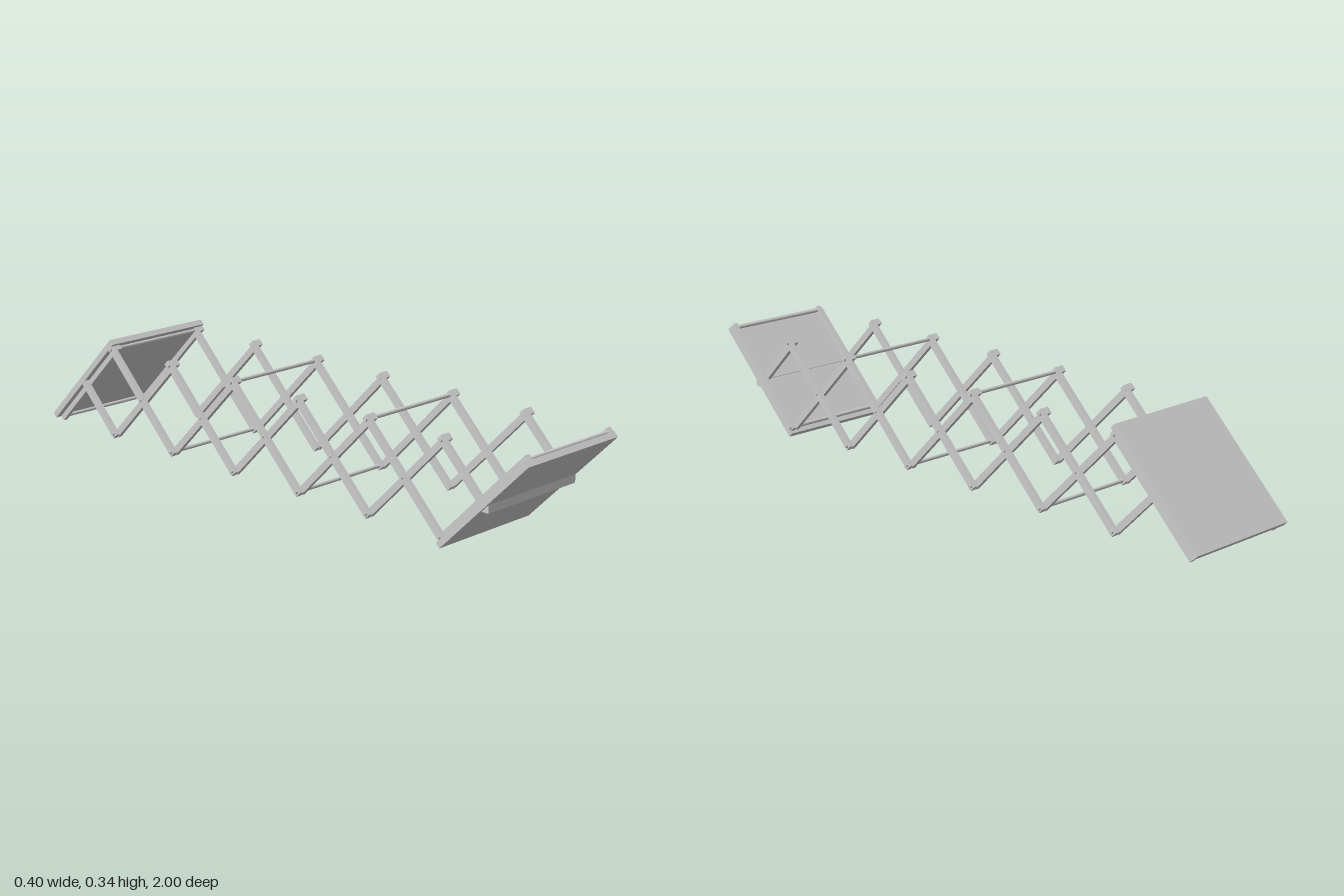
import * as THREE from 'three';

const material = new THREE.MeshStandardMaterial({ color: 0xcccccc, flatShading: true });
const STEP = 0.278;              // spacing of the lattice nodes along z
const LOW = 0.0315, HIGH = 0.3115, MID = 0.1715;
const BAR_W = 0.015, BAR_H = 0.021;

function add(parent, name, geometry, x, y, z, tilt = 0) {
  const mesh = new THREE.Mesh(geometry, material);
  mesh.name = name;
  mesh.position.set(x, y, z);
  mesh.rotation.x = tilt;
  parent.add(mesh);
}

// flat bar between two lattice nodes, running slightly past both
function bar(parent, name, x, y0, z0, y1, z1) {
  const dy = y1 - y0, dz = z1 - z0;
  const geometry = new THREE.BoxGeometry(BAR_W, BAR_H, Math.hypot(dy, dz) + BAR_H);
  add(parent, name, geometry, x, (y0 + y1) / 2, (z0 + z1) / 2, -Math.atan2(dy, dz));
}

// round rod along x
function rod(parent, name, x0, x1, y, z, r = 0.006) {
  const geometry = new THREE.CylinderGeometry(r, r, x1 - x0, 12).rotateZ(Math.PI / 2);
  add(parent, name, geometry, (x0 + x1) / 2, y, z);
}

export function createModel() {
  const model = new THREE.Group();
  model.name = 'scissorLattice';

  // the two sides are shifted copies: falling and rising bars lie next to each other
  const sides = [
    { name: 'left', falling: 0.186, rising: 0.168, pin: [0.16, 0.2] },
    { name: 'right', falling: -0.168, rising: -0.186, pin: [-0.2, -0.16] },
  ];
  for (const s of sides) {
    const side = new THREE.Group();
    side.name = s.name + 'Lattice';
    model.add(side);

    // seven falling bars; the outermost two carry the end plates
    for (let i = 0; i < 7; i++) {
      const z = (3.5 - i) * STEP;
      bar(side, 'fallingBar', s.falling, LOW, z - STEP, HIGH, z);
    }
    // five rising bars with a half bar at either end
    for (let i = 0; i < 5; i++) {
      const z = (2.5 - i) * STEP;
      bar(side, 'risingBar', s.rising, HIGH, z - STEP, LOW, z);
    }
    bar(side, 'frontHalfBar', s.rising, HIGH, 2.5 * STEP, MID, 3 * STEP);
    bar(side, 'backHalfBar', s.rising, MID, -3 * STEP, LOW, -2.5 * STEP);

    // pivot pins at the outer nodes and at the crossings
    for (let i = 0; i < 6; i++) {
      const z = (2.5 - i) * STEP;
      rod(side, 'upperPin', ...s.pin, HIGH, z);
      rod(side, 'lowerPin', ...s.pin, LOW, z);
    }
    for (let i = -2; i <= 2; i++) rod(side, 'crossingPin', s.pin[0], s.pin[1], MID, i * STEP, 0.004);
  }

  // cross rods tie the ends of every second pair of falling bars
  for (let i = 0; i < 7; i += 2) {
    const z = (3.5 - i) * STEP;
    rod(model, 'upperCrossRod', -0.17, 0.18, HIGH, z);
    rod(model, 'lowerCrossRod', -0.17, 0.18, LOW, z - STEP);
  }

  // sloping end plates, the back one turned half round about x
  const plate = new THREE.BoxGeometry(0.39, 0.019, 0.427);
  const tilt = -Math.PI / 4;
  add(model, 'frontPlate', plate, 0, 0.1578, 0.8423, tilt);
  add(model, 'backPlate', plate, 0, 2 * MID - 0.1578, -0.8423, tilt);

  // horizontal grip strip let into the front plate
  add(model, 'gripStrip', new THREE.BoxGeometry(0.379, 0.0255, 0.028), 0.004, 0.1508, 0.847);

  return model;
}
